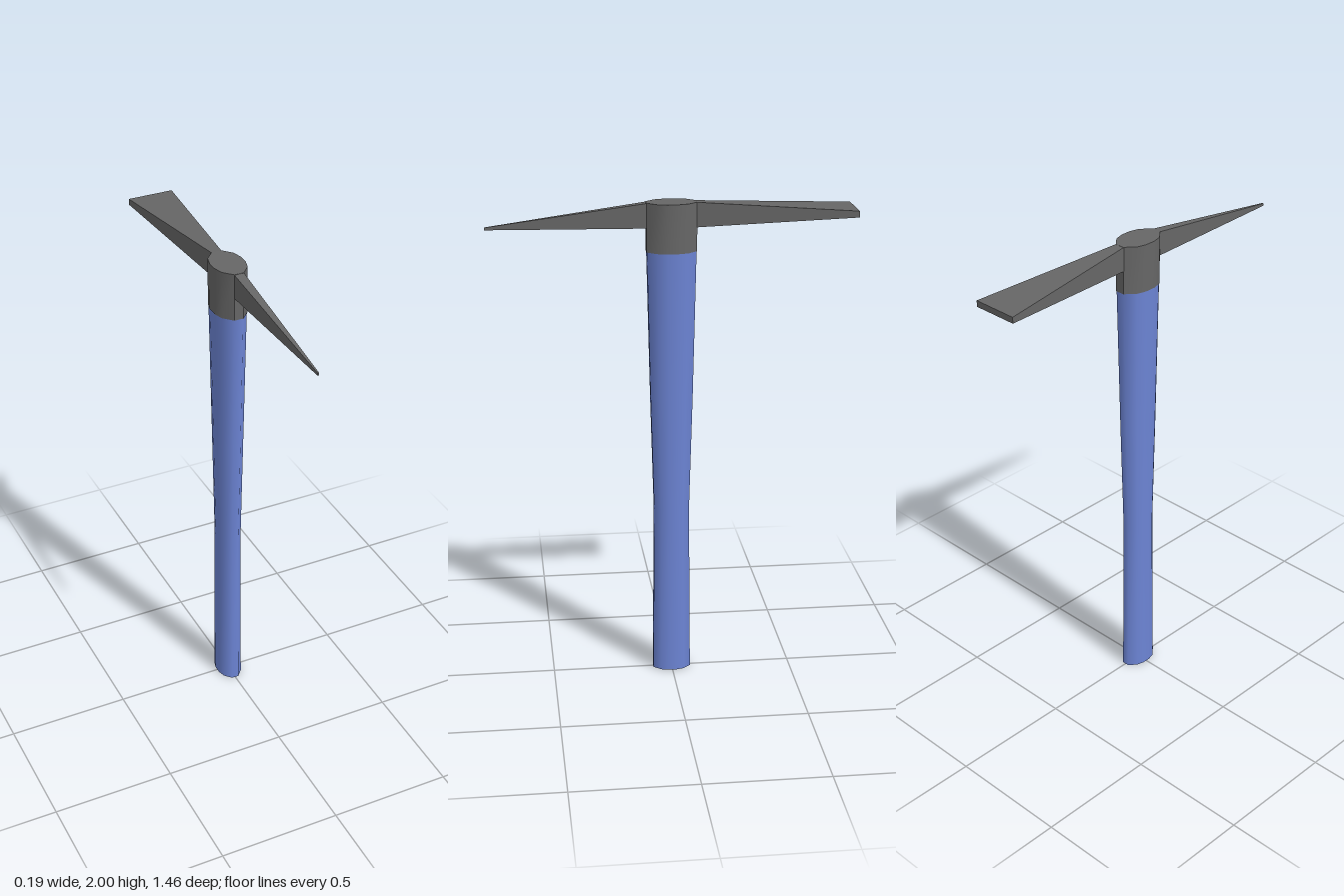
import * as THREE from 'three';
import { toCreasedNormals } from 'three/addons/utils/BufferGeometryUtils.js';

// Skin closed rings (each counterclockwise about the direction of travel) and cap both ends
function loft(rings, crease) {
  const n = rings[0].length;
  const index = [];
  for (let r = 0; r < rings.length - 1; r++) {
    for (let j = 0; j < n; j++) {
      const k = (j + 1) % n;
      const a = r * n + j, b = r * n + k;
      index.push(a, b, b + n, a, b + n, a + n);
    }
  }
  const last = (rings.length - 1) * n;
  for (let j = 1; j < n - 1; j++) {
    index.push(0, j + 1, j, last, last + j, last + j + 1);
  }
  const geometry = new THREE.BufferGeometry();
  geometry.setAttribute('position', new THREE.Float32BufferAttribute(rings.flat(2), 3));
  geometry.setIndex(index);
  return toCreasedNormals(geometry, crease);
}

// Oval outline with blunt ends, mirrored from one quarter (half width 1, half depth 1)
const quarter = [[0.3, 1], [0.83, 0.62], [1, 0.22]];
const half = [...quarter, ...quarter.map(([x, z]) => [x, -z]).reverse()];
const oval = [...half, ...half.map(([x, z]) => [-x, -z])];
const ovalRing = (y, w, d) => oval.map(([x, z]) => [x * w, y, z * d]);

// Rectangular section across the head
const rectRing = (z, w, lo, hi) => [[-w, lo, z], [w, lo, z], [w, hi, z], [-w, hi, z]];

export function createModel() {
  const group = new THREE.Group();
  const steel = new THREE.MeshStandardMaterial({ color: 0x666666 });
  const paint = new THREE.MeshStandardMaterial({ color: 0x6c84d4 });

  const add = (name, geometry, material) => {
    const mesh = new THREE.Mesh(geometry, material);
    mesh.name = name;
    group.add(mesh);
  };

  // Handle: slim in the lower part, flaring toward the head
  add('handle', loft([
    ovalRing(0, 0.05, 0.078),
    ovalRing(0.72, 0.046, 0.072),
    ovalRing(1.2, 0.053, 0.085),
    ovalRing(1.81, 0.063, 0.098),
  ], 1), paint);

  // Eye: collar around the top of the handle
  add('headEye', loft([ovalRing(1.805, 0.065, 0.1), ovalRing(2, 0.065, 0.1)], 0.6), steel);

  // Pointed tine at the front
  add('pickPoint', loft([
    rectRing(0.09, 0.02, 1.9, 2),
    rectRing(0.73, 0.003, 1.905, 1.915),
  ], 0.2), steel);

  // Flat blade widening toward the back
  add('adzeBlade', loft([
    rectRing(-0.73, 0.095, 1.94, 1.965),
    rectRing(-0.09, 0.02, 1.9, 2),
  ], 0.2), steel);

  return group;
}
